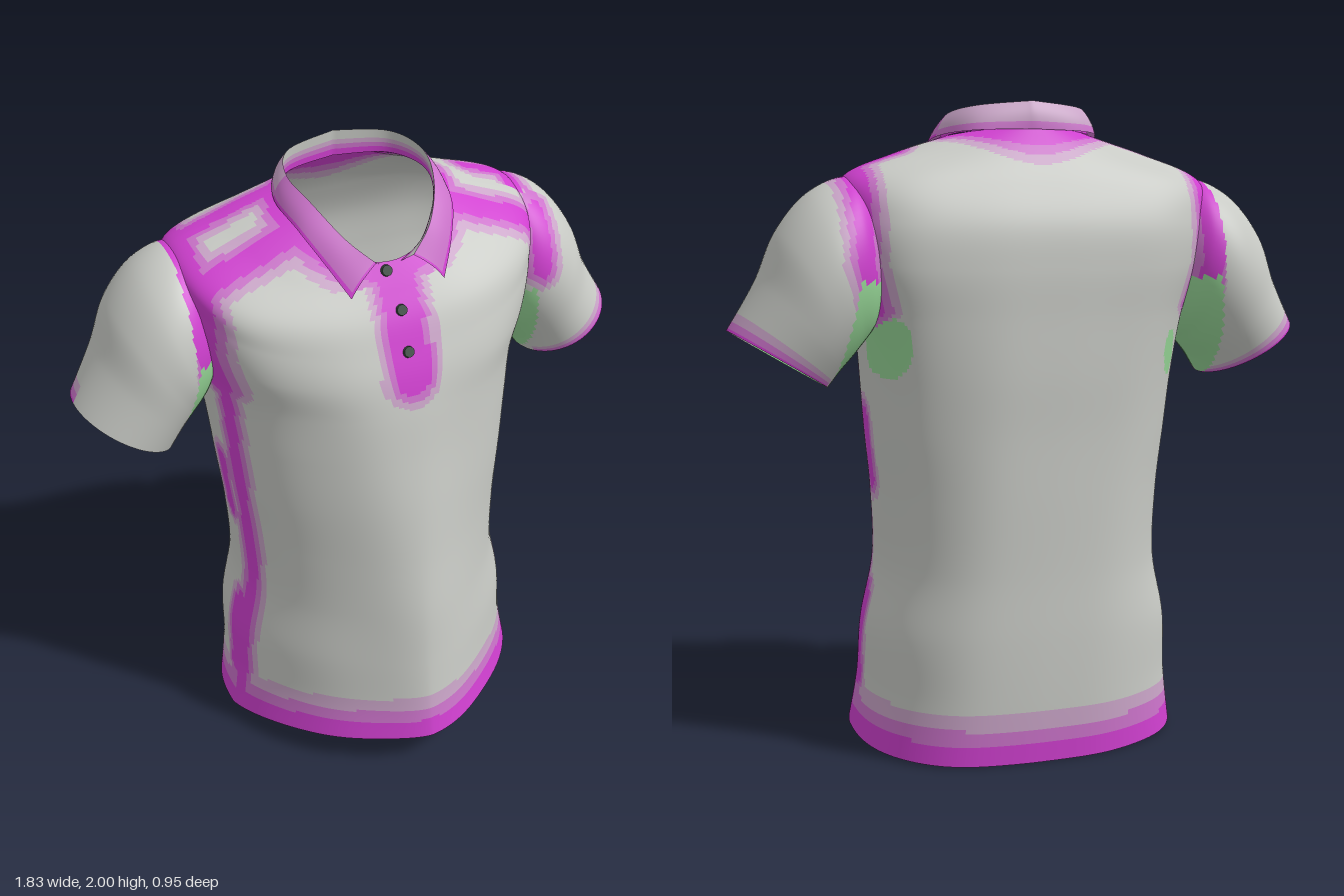
import * as THREE from 'three';

const mat = (name, color) => {
  const m = new THREE.MeshStandardMaterial({ color, side: THREE.DoubleSide });
  m.name = name;
  return m;
};
const CLOTH = 0, SEAM = 1, MID = 2, PALE = 3, GREEN = 4;

// Smooth interpolation through rows of numbers, t in 0..1
function spline(rows, t) {
  const n = rows.length, f = t * (n - 1), i = Math.min(Math.floor(f), n - 2), w = f - i;
  return rows[0].map((_, k) => {
    const p = (m) => rows[Math.max(0, Math.min(n - 1, i + m))][k];
    const a = p(-1), b = p(0), c = p(1), d = p(2);
    return 0.5 * (2 * b + (c - a) * w + (2 * a - 5 * b + 4 * c - d) * w * w + (3 * b - a - 3 * c + d) * w ** 3);
  });
}

// Grid surface from a point rule; pick() gives the material of every cell
function surface(name, point, nu, nv, wrap, materials, pick) {
  const pos = [], bins = materials.map(() => []), cols = wrap ? nu : nu + 1;
  for (let j = 0; j <= nv; j++) for (let i = 0; i < cols; i++) pos.push(...point(i / nu, j / nv));
  for (let j = 0; j < nv; j++) for (let i = 0; i < nu; i++) {
    const i2 = (i + 1) % cols, a = j * cols + i, b = j * cols + i2, c = b + cols, d = a + cols;
    const u = (i + 0.5) / nu, v = (j + 0.5) / nv;
    bins[pick(point(u, v), u, v)].push(a, b, c, a, c, d);
  }
  const g = new THREE.BufferGeometry();
  g.setAttribute('position', new THREE.Float32BufferAttribute(pos, 3));
  g.setIndex(bins.flat());
  let start = 0;
  bins.forEach((b, k) => {
    if (b.length) g.addGroup(start, b.length, k);
    start += b.length;
  });
  g.computeVertexNormals();
  const mesh = new THREE.Mesh(g, materials);
  mesh.name = name;
  return mesh;
}

// Torso rings: half width, side y, side z, front y, front z, back y, back z, front and back roundness
const RINGS = [
  [0.53, 0.04, -0.03, 0.12, 0.48, 0.0, -0.465, 1.5, 2.6],
  [0.505, 0.20, -0.04, 0.24, 0.46, 0.19, -0.47, 1.5, 2.6],
  [0.495, 0.38, -0.06, 0.42, 0.44, 0.38, -0.47, 1.55, 2.6],
  [0.455, 0.58, -0.07, 0.61, 0.42, 0.58, -0.465, 1.6, 2.6],
  [0.46, 0.80, -0.08, 0.80, 0.39, 0.80, -0.465, 1.65, 2.6],
  [0.48, 1.00, -0.09, 1.00, 0.36, 1.00, -0.465, 1.75, 2.7],
  [0.495, 1.18, -0.11, 1.17, 0.33, 1.18, -0.47, 1.9, 2.8],
  [0.515, 1.36, -0.15, 1.32, 0.305, 1.35, -0.47, 2.1, 3],
  [0.555, 1.53, -0.19, 1.43, 0.28, 1.50, -0.47, 2.4, 3.2],
  [0.575, 1.67, -0.20, 1.52, 0.248, 1.63, -0.455, 2.5, 3.2],
  [0.565, 1.775, -0.20, 1.60, 0.215, 1.75, -0.405, 2.5, 3],
  [0.40, 1.845, -0.17, 1.68, 0.17, 1.85, -0.345, 2.3, 2.3],
  [0.24, 1.895, -0.12, 1.755, 0.125, 1.92, -0.295, 2, 2],
];
function torsoPoint(u, v) {
  const [a, ys, zs, yf, zf, yb, zb, pf, pb] = spline(RINGS, v);
  const s = Math.sin(u * Math.PI * 2), c = Math.cos(u * Math.PI * 2);
  const p = c > 0 ? pf : pb, r = Math.abs(c) ** (2 / p);
  const x = a * Math.sign(s) * Math.abs(s) ** (2 / p);
  const y = ys + ((c > 0 ? yf : yb) - ys) * r ** (0.8 + 0.7 * v);
  const fold = 0.009 * Math.sin(16 * x + 2.5 * y) * Math.min(1, 2.5 * (1 - v)) * r * Math.abs(s);
  return [x, y, zs + ((c > 0 ? zf : zb) - zs) * r + fold];
}

const segDist = (p, a, b) => new THREE.Line3(new THREE.Vector3(...a), new THREE.Vector3(...b))
  .closestPointToPoint(new THREE.Vector3(...p), true, new THREE.Vector3()).distanceTo(new THREE.Vector3(...p));
const band = (d) => (d < 0.03 ? SEAM : d < 0.05 ? MID : d < 0.072 ? PALE : CLOTH);

// Distance to the armhole seam, which leans inward towards the underarm
function armholeDist([x, y, z]) {
  if (x > 0 && z > -0.12) return segDist([x, y, 0], [0.595, 1.7, 0], [0.585, 1.54, 0]);
  const line = 0.552 - Math.max(0, 1.52 - y) * 0.3;
  return Math.abs(Math.abs(x) - line) + Math.max(0, 1.38 - y);
}

// Distance to the nearest seam decides the tint of the torso
function torsoColour(p, u, v) {
  const [x, y, z] = p, ax = Math.abs(x);
  let d = (y - torsoPoint(u, 0)[1]) * 0.45;
  if (ax > 0.35 && y < 1.4) {
    d = Math.min(d, Math.abs(z) + 0.004);
    d = Math.min(d, segDist([0, y, z], [0, 0.85, -0.1], [0, 1.05, -0.1]));
    d = Math.min(d, segDist([0, y, z], [0, 0.2, -0.05], [0, 0.48, -0.05]));
  }
  if (y > 1.55 && ax > 0.22) d = Math.min(d, Math.abs(z + 0.01));
  if (y > 1.7) {
    d = Math.min(d, segDist([ax, 0, z], [x > 0 ? 0.41 : 0.26, 0, -0.2], [0.6, 0, -0.2]));
    d = Math.min(d, (Math.hypot(x / 0.24, (z + 0.09) / 0.205) - 1) * 0.23 - 0.015);
  }
  d = Math.min(d, armholeDist(p));
  if (z > 0 && y > 1.3) d = Math.min(d, segDist([x, y, 0], [0.005, 1.44, 0], [0.005, 1.8, 0]) - 0.03);
  const [gx, gy, gw, gh] = x > 0 ? [0.46, 1.27, 0.05, 0.09] : [0.42, 1.24, 0.025, 0.07];
  if (z < -0.2 && Math.hypot((ax - gx) / gw, (y - gy) / gh) < 1) return GREEN;
  return band(d);
}

// Sleeve rings: top x, y, bottom x, y, front z, back z
const SLEEVE = [
  [0.50, 1.75, 0.47, 1.35, -0.06, -0.36],
  [0.575, 1.772, 0.505, 1.30, 0.01, -0.415],
  [0.68, 1.72, 0.53, 1.27, 0.04, -0.44],
  [0.77, 1.61, 0.555, 1.24, 0.04, -0.44],
  [0.83, 1.47, 0.59, 1.20, 0.03, -0.42],
  [0.915, 1.325, 0.625, 1.15, 0.02, -0.385],
];
function sleeve(side, materials) {
  const point = (scale) => (u, v) => {
    const [tx, ty, bx, by, zf, zb] = spline(SLEEVE, v);
    const c = scale * Math.cos(u * Math.PI * 2), s = scale * Math.sin(u * Math.PI * 2);
    return [side * ((tx + bx) / 2 + c * (tx - bx) / 2), (ty + by) / 2 + c * (ty - by) / 2,
      (zf + zb) / 2 + s * (zf - zb) / 2];
  };
  const pick = (p, u, v) => {
    const ax = Math.abs(p[0]), y = p[1], c = Math.cos(u * Math.PI * 2), s = Math.sin(u * Math.PI * 2);
    if (y < 1.47 && ax < 0.57 + (1.47 - y) * 0.17) return GREEN;
    if (v > 0.92 && (side > 0 ? c > -0.85 : s < 0)) return v > 0.975 ? SEAM : v > 0.945 ? MID : PALE;
    if (side < 0 && ax > 0.582) return CLOTH;
    return band(armholeDist(p));
  };
  const g = new THREE.Group();
  g.name = side > 0 ? 'leftSleeve' : 'rightSleeve';
  g.add(surface('sleeveOuter', point(1), 72, 60, true, materials, pick));
  // Lining, seen through the cuff
  g.add(surface('sleeveLining', (u, v) => point(0.975)(u, 0.35 + 0.65 * v), 72, 16, true, materials,
    (p, u) => (Math.cos(u * Math.PI * 2) < 0.3 ? GREEN : CLOTH)));
  return g;
}

// Collar: three half curves running from the front opening to the centre back
const NECK = [[0.03, 1.75, 0.13], [0.12, 1.79, 0.09], [0.21, 1.86, -0.02], [0.235, 1.895, -0.14], [0.165, 1.91, -0.25], [0, 1.915, -0.29]];
const CREST = [[0.06, 1.775, 0.155], [0.135, 1.845, 0.11], [0.195, 1.925, 0.01], [0.22, 1.965, -0.12], [0.165, 1.985, -0.24], [0, 2, -0.283]];
const LEAF = [[0.15, 1.69, 0.18], [0.205, 1.785, 0.115], [0.248, 1.86, 0.025], [0.26, 1.895, -0.13], [0.185, 1.91, -0.272], [0, 1.915, -0.305]];
function collarPart(name, lower, upper, bulge, materials, pick) {
  const point = (u, v) => {
    const k = 1 - Math.abs(2 * u - 1), side = u < 0.5 ? 1 : -1;
    const a = spline(lower, k), b = spline(upper, k), h = bulge * Math.sin(v * Math.PI);
    const p = a.map((n, i) => n + (b[i] - n) * v);
    return [side * (p[0] + h * Math.sqrt(1 - k)), p[1] + h * 0.5, p[2] + h * (0.6 - 1.6 * k)];
  };
  return surface(name, point, 96, 16, false, materials, pick);
}

export function createModel() {
  const fabric = [mat('grey cloth', 0xc9cbc6), mat('magenta seam', 0xd040d0), mat('soft magenta', 0xcc74cb),
    mat('pale pink', 0xcba6c9), mat('green underarm', 0x98d898)];
  const buttonMat = mat('dark button', 0x34463c);
  const shirt = new THREE.Group();
  shirt.name = 'poloShirt';

  shirt.add(surface('torso', torsoPoint, 240, 180, true, fabric, torsoColour));
  shirt.add(sleeve(1, fabric), sleeve(-1, fabric));

  // Collar stand inside, folded leaf outside, paler round the back
  shirt.add(collarPart('collarStand', NECK, CREST, 0, fabric,
    (p, u, v) => (v < 0.25 ? SEAM : v < 0.45 ? MID : v < 0.6 ? PALE : CLOTH)));
  shirt.add(collarPart('collarLeaf', CREST, LEAF, 0.007, fabric, (p, u, v) => {
    if (Math.abs(u - 0.5) < 0.2) return v > 0.75 ? MID : PALE;
    return v > 0.9 || Math.abs(u - 0.5) > 0.488 ? SEAM : MID;
  }));

  // Buttons follow the centre front
  const disc = new THREE.CylinderGeometry(0.016, 0.018, 0.012, 20).rotateX(Math.PI / 2);
  [[-0.02, 1.735], [0, 1.63], [0, 1.515]].forEach(([x, y], i) => {
    let v = 0.6;
    while (v < 1 && torsoPoint(0, v)[1] < y) v += 0.002;
    const b = new THREE.Mesh(disc, buttonMat);
    b.name = 'button' + (i + 1);
    b.position.set(x, y, torsoPoint(0, v)[2] + 0.005);
    b.rotation.x = -0.45;
    shirt.add(b);
  });
  return shirt;
}
